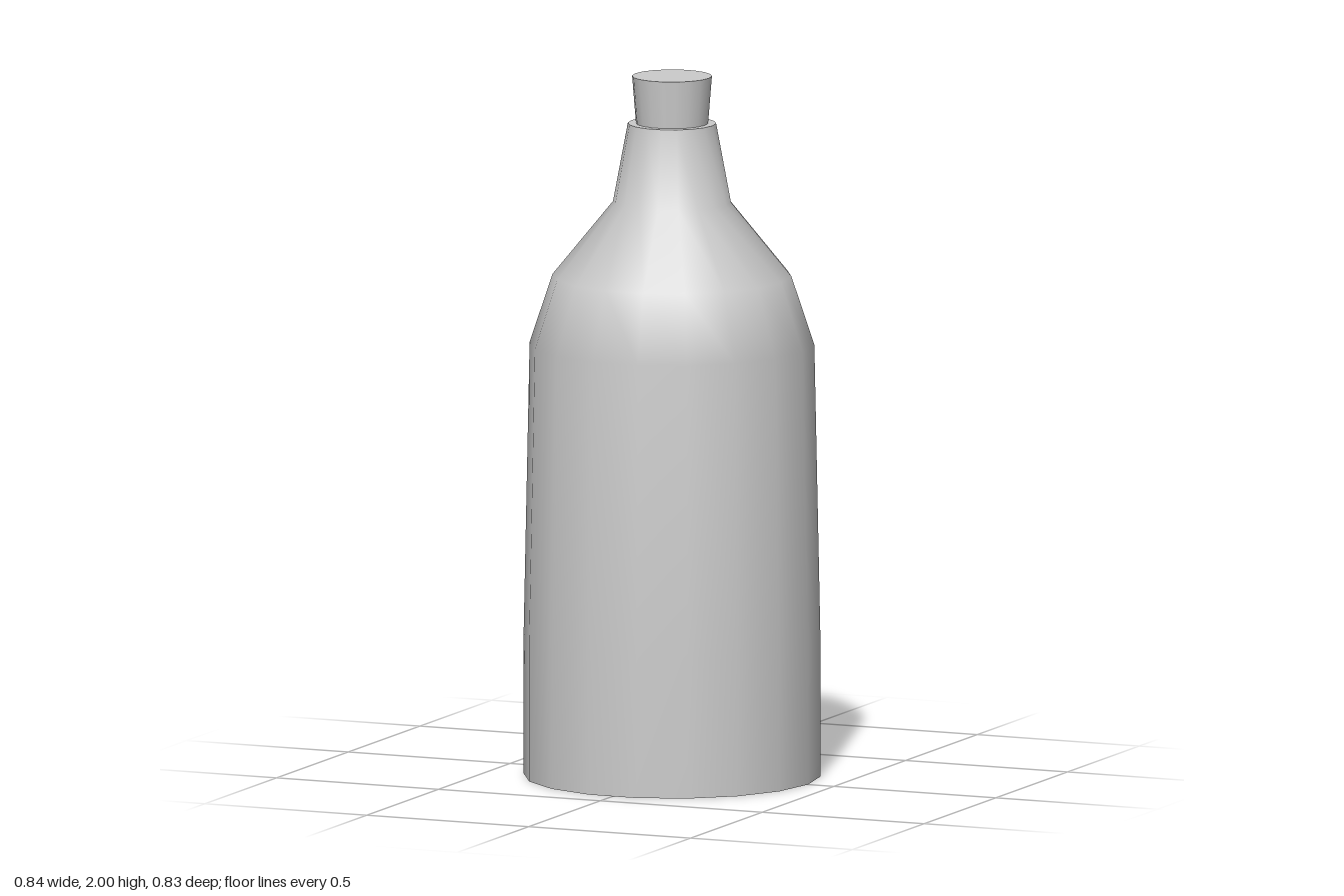
import * as THREE from 'three';

const SIDES = 18;

export function createModel() {
  const model = new THREE.Group();
  const material = new THREE.MeshStandardMaterial({ color: 0xcccccc });
  const add = (name, geometry, y = 0) => {
    const mesh = new THREE.Mesh(geometry, material);
    mesh.name = name;
    mesh.position.y = y;
    model.add(mesh);
  };

  // Bottle wall: slightly tapered body, sloping shoulder and neck
  const profile = [
    [0.42, 0], [0.42, 0.4], [0.403, 1.235], [0.338, 1.43], [0.167, 1.64], [0.125, 1.865],
  ].map(([r, y]) => new THREE.Vector2(r, y));
  add('bottleBody', new THREE.LatheGeometry(profile, SIDES, Math.PI / 2));

  // Flat base and lip, kept separate so their edges stay sharp
  add('bottleBase', new THREE.CircleGeometry(0.42, SIDES).rotateX(Math.PI / 2));
  add('bottleLip', new THREE.RingGeometry(0.09, 0.125, SIDES).rotateX(-Math.PI / 2), 1.865);

  // Tapered stopper, sunk a little into the neck
  const top = 2, bottom = 1.8;
  add('stopper', new THREE.CylinderGeometry(0.113, 0.097, top - bottom, SIDES, 1, false, Math.PI / 2), (top + bottom) / 2);

  return model;
}
